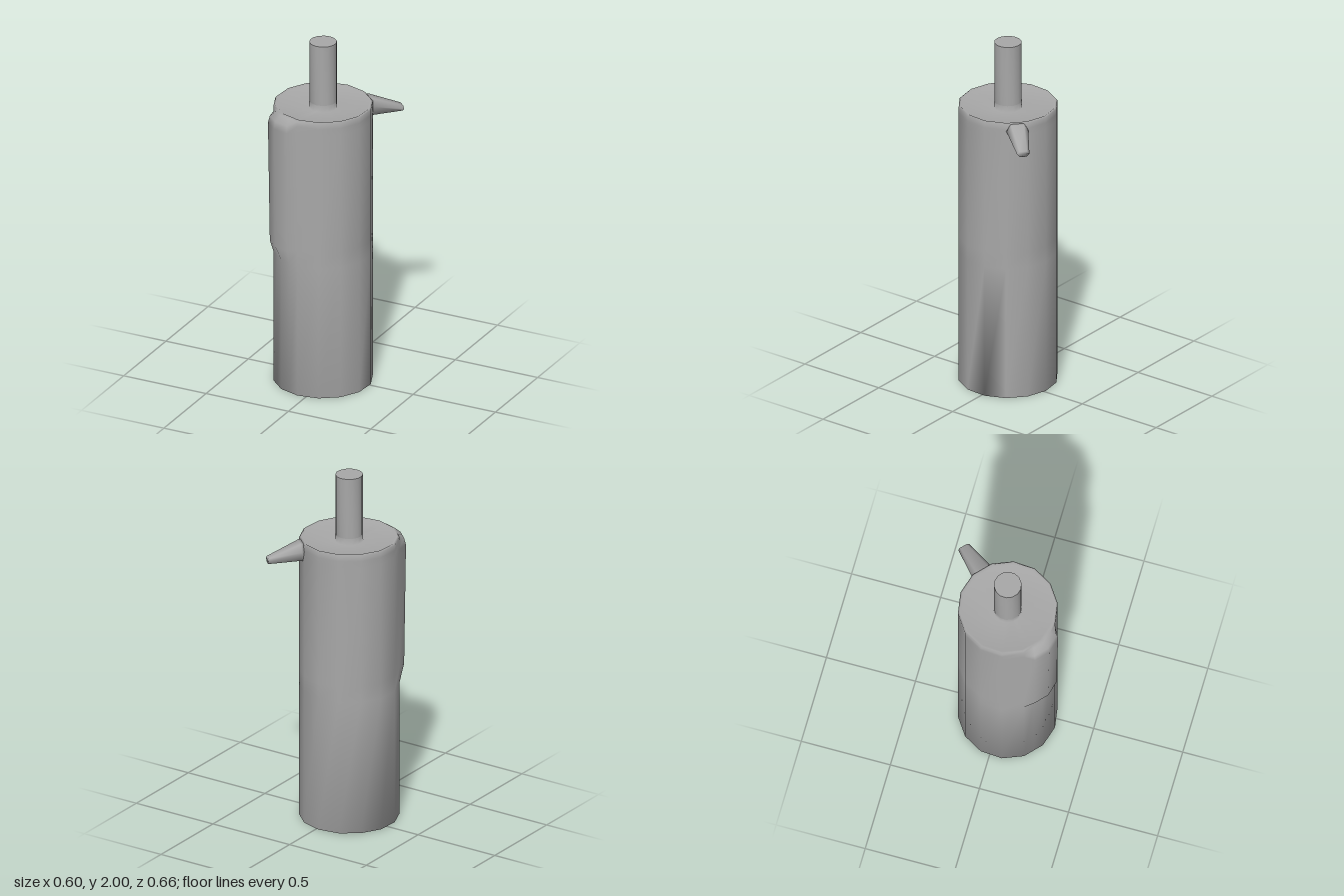
import * as THREE from 'three';
import { toCreasedNormals } from 'three/addons/utils/BufferGeometryUtils.js';

const CX = -0.032, CZ = 0.027, SIDES = 14, START = -8.9;
const material = new THREE.MeshStandardMaterial({ color: 0xa8a8a8 });

function addPart(group, name, geometry) {
  const mesh = new THREE.Mesh(geometry, material);
  mesh.name = name;
  group.add(mesh);
}

// Smooth closed skin through equal-sized rings of points, capped at both ends
function loft(rings) {
  const n = rings[0].length, index = [];
  for (let i = 0; i < rings.length - 1; i++) {
    for (let j = 0; j < n; j++) {
      const a = i * n + j, b = i * n + (j + 1) % n;
      index.push(a, a + n, b, b, a + n, b + n);
    }
  }
  const last = (rings.length - 1) * n;
  for (let j = 1; j < n - 1; j++) {
    index.push(0, j, j + 1, last, last + j + 1, last + j);
  }
  const geometry = new THREE.BufferGeometry();
  geometry.setAttribute('position', new THREE.Float32BufferAttribute(rings.flat(2), 3));
  geometry.setIndex(index);
  geometry.computeVertexNormals();
  return geometry;
}

// Body outline: corners of the polygon (k = 0, 1, 2 ...) plus two midpoints at the grip
const corner = (k) => {
  const angle = THREE.MathUtils.degToRad(START + k * 360 / SIDES);
  return [Math.cos(angle), Math.sin(angle)];
};
const midpoint = (k) => {
  const [a, b] = [corner(k), corner(k + 1)];
  return [(a[0] + b[0]) / 2, (a[1] + b[1]) / 2];
};
const outline = [];
for (let k = 0; k < SIDES; k++) {
  outline.push(corner(k));
  if (k === 4 || k === 5) outline.push(midpoint(k));
}
// How far the raised grip pushes its three outline points out
const gripOffset = { 5: [0.008, 0.049], 6: [-0.023, 0.042], 7: [-0.045, 0.022] };

function bodyRing([radius, y, grip]) {
  return outline.map(([x, z], i) => {
    const [dx, dz] = gripOffset[i] ?? [0, 0];
    return [CX + radius * x + grip * dx, y, CZ + radius * z + grip * dz];
  });
}

export function createModel() {
  const group = new THREE.Group();

  // Tall body with raised grip, thin rim, dished top and rod collar
  // [radius, height, grip amount]
  addPart(group, 'body', loft([
    [0.271, 0, 0], [0.271, 0.77, 0], [0.271, 0.86, 0.8], [0.271, 1.56, 1],
    [0.271, 1.6, 0.8], [0.271, 1.63, 0.1], [0.262, 1.638, 0], [0.25, 1.63, 0],
    [0.076, 1.612, 0], [0.0755, 1.65, 0], [0.07, 1.65, 0],
  ].map(bodyRing)));

  // Plunger rod with a flat, sharp-edged top
  const rodProfile = [[0.075, 1.63], [0.075, 2], [0, 2]].map(([r, y]) => new THREE.Vector2(r, y));
  const rod = new THREE.LatheGeometry(rodProfile, SIDES, THREE.MathUtils.degToRad(90 - START));
  addPart(group, 'plungerRod', toCreasedNormals(rod.translate(CX, 0, CZ), 0.7));

  // Pouring spout: tapering section sloping down and outwards
  // [distance, half width, top, side, bottom]
  const stations = [
    [-0.01, 0.062, 1.632, 1.595, 1.53],
    [0.01, 0.059, 1.63, 1.59, 1.53],
    [0.189, 0.034, 1.555, 1.54, 1.523],
  ];
  addPart(group, 'spout', loft(stations.map(([t, w, top, side, bottom]) => {
    const at = (s, y) => [0.146 + 0.68 * t + 0.73 * s, y, -0.17 - 0.73 * t + 0.68 * s];
    return [at(w, side), at(w * 0.6, top), at(-w * 0.6, top), at(-w, side), at(-w * 0.5, bottom), at(w * 0.5, bottom)];
  })));

  return group;
}
